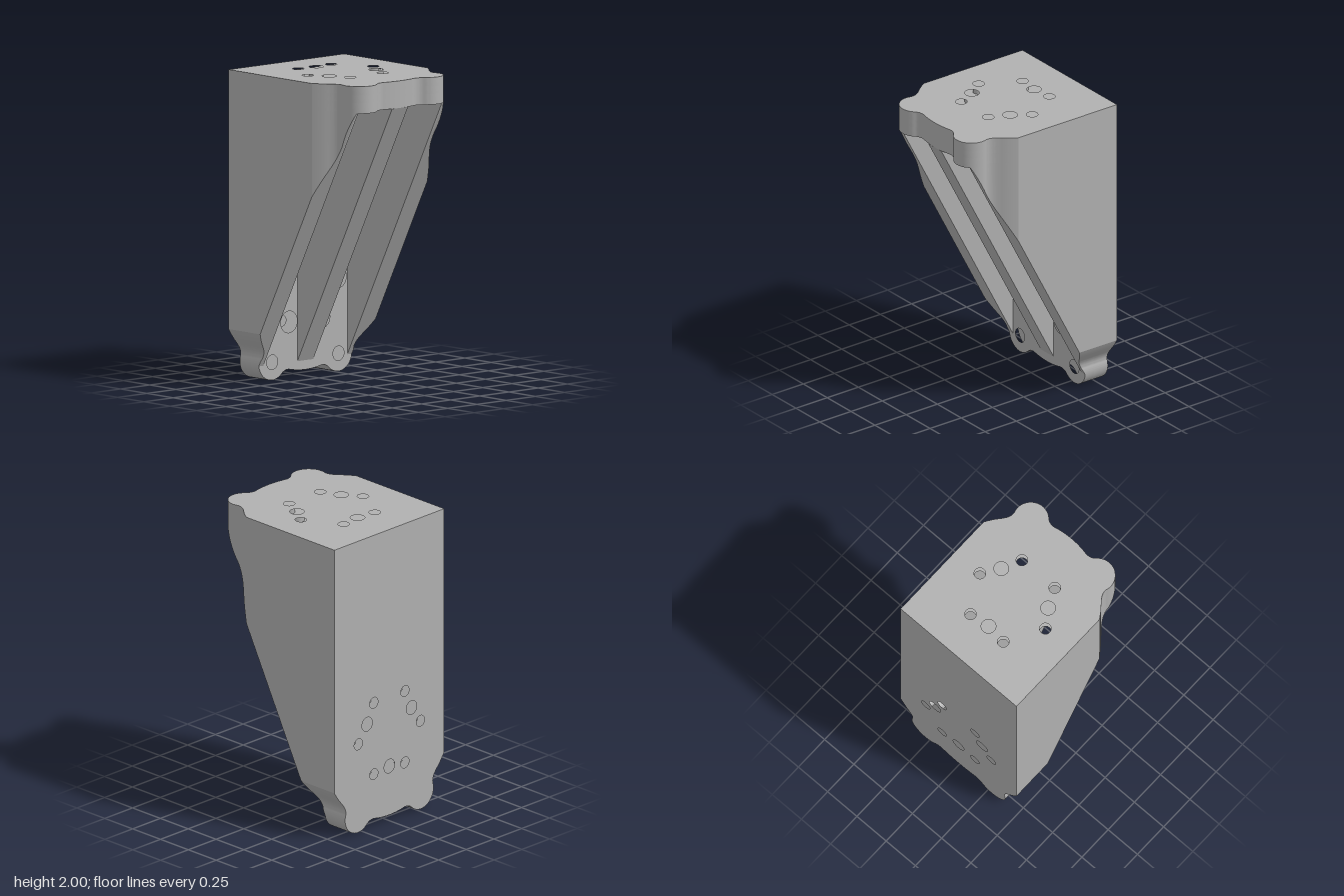
import * as THREE from 'three';
import { toCreasedNormals } from 'three/addons/utils/BufferGeometryUtils.js';

const HALF = 0.495, END = 0.56, INNER = -0.38, UNDER = 1.825;
const RIB_FOOT = 0.1, RIB_TIP = 0.52, WALL = 0.36, SHOULDER = 0.33;
const RATIO = (RIB_TIP - INNER) / (UNDER - RIB_FOOT);
const slopeZ = (y) => INNER + (y - RIB_FOOT) * RATIO;
const slopeY = (z) => RIB_FOOT + (z - INNER) / RATIO;

// Half of the wavy plate end: x across, y = distance from the tip
const LOBE = { x: 0.284, r: 0.115 };
const wave = new THREE.Path();
wave.moveTo(HALF, SHOULDER);
wave.quadraticCurveTo(0.464, 0.277, 0.43, 0.24);
wave.bezierCurveTo(0.41, 0.215, 0.388, 0.19, 0.392, 0.152);
wave.quadraticCurveTo(0.399, 0.132, LOBE.x + LOBE.r, LOBE.r);
wave.absarc(LOBE.x, LOBE.r, LOBE.r, 0, -Math.PI * 0.75, true);
wave.quadraticCurveTo(0.178, 0.058, 0.14, 0.056);
wave.quadraticCurveTo(0.07, 0.04, 0, 0.04);
const wavePoints = wave.getPoints(12);

// The part of the wave that bounds an outer rib, cut at distance v from the tip
function ribEdge(v) {
  const points = [];
  for (const p of wavePoints) {
    if (p.y <= v) break;
    points.push(p);
  }
  const x = LOBE.x + Math.sqrt(LOBE.r ** 2 - (LOBE.r - v) ** 2);
  return [...points, new THREE.Vector2(x, v)];
}

// Plate shape with wavy end at y = 0, square end at y = length
function plateShape(length, holes) {
  const mirrored = wavePoints.slice(0, -1).reverse().map((p) => new THREE.Vector2(-p.x, p.y));
  const shape = new THREE.Shape([
    new THREE.Vector2(HALF, length), ...wavePoints, ...mirrored, new THREE.Vector2(-HALF, length),
  ]);
  for (const [x, y, r] of holes) {
    shape.holes.push(new THREE.Path().absarc(x, y, r, 0, Math.PI * 2, true));
  }
  return shape;
}

const extrude = (shape, depth) =>
  new THREE.ExtrudeGeometry(shape, { depth, bevelEnabled: false, curveSegments: 20 });

// Three layers: pin holes outside, bolt holes right through, counterbores inside
function plateLayers(length, centre, pinSide) {
  const bolts = [[0.14, 0.245], [0.28, 0], [0.14, -0.245]]
    .flatMap(([x, y]) => [[x, centre + y], [-x, centre + y]]);
  const bored = (r) => bolts.map(([x, y]) => [x, y, r]);
  const pins = [[0, 0.23], [0.2, -0.115], [-0.2, -0.115]]
    .map(([x, y]) => [x, centre + y * pinSide, 0.047]);
  const lobePins = [-1, 1].map((s) => [s * 0.284, 0.115, 0.047]);
  return [
    { name: 'OuterLayer', start: 0, depth: 0.06, holes: [...bored(0.037), ...pins] },
    { name: 'MiddleLayer', start: 0.06, depth: 0.05, holes: bored(0.037) },
    { name: 'InnerLayer', start: 0.11, depth: 0.07, holes: [...bored(0.07), ...lobePins] },
  ].map((layer) => ({ ...layer, shape: plateShape(length, layer.holes) }));
}

export function createModel() {
  const model = new THREE.Group();
  model.name = 'angleBracket';
  const metal = new THREE.MeshStandardMaterial({ color: 0xb0b0b0 });
  metal.name = 'plain grey';

  function add(name, geometry, parent = model) {
    const mesh = new THREE.Mesh(toCreasedNormals(geometry, 0.5), metal);
    mesh.name = name;
    parent.add(mesh);
  }
  function addGroup(name) {
    const group = new THREE.Group();
    group.name = name;
    model.add(group);
    return group;
  }

  // Upright back plate, wavy end at the bottom
  const backPlate = addGroup('backPlate');
  for (const { name, start, depth, shape } of plateLayers(UNDER, 0.605, -1)) {
    add('back' + name, extrude(shape, depth).translate(0, 0, -END + start), backPlate);
  }

  // Flat top plate, wavy end at the front
  const topPlate = addGroup('topPlate');
  const thickness = 2 - UNDER;
  for (const { name, start, depth, shape } of plateLayers(2 * END, 0.605, 1)) {
    const k = thickness / 0.18;
    const geometry = extrude(shape, depth * k).rotateX(-Math.PI / 2);
    add('top' + name, geometry.translate(0, 2 - (start + depth) * k, END), topPlate);
  }

  // Centre rib: a triangle in the side plane
  const triangle = new THREE.Shape();
  triangle.moveTo(INNER, RIB_FOOT).lineTo(RIB_TIP, UNDER).lineTo(INNER, UNDER);
  add('centreRib', extrude(triangle, 0.136).rotateY(-Math.PI / 2).translate(0.068, 0, 0));

  // Outer ribs: trimmed by both wavy ends and by the slope
  const kneeZ = END - SHOULDER, kneeY = slopeY(kneeZ);
  for (const [side, s] of [['left', 1], ['right', -1]]) {
    const rib = addGroup(side + 'OuterRib');
    const toShape = (points) => new THREE.Shape(points.map(([x, y]) => new THREE.Vector2(s * x, y)));

    // lower part, front face leaned onto the slope
    const lower = extrude(toShape([
      [WALL, RIB_FOOT], [WALL, kneeY], [HALF, kneeY],
      ...ribEdge(RIB_FOOT).map((p) => [p.x, p.y]),
    ]), 1);
    let pos = lower.attributes.position;
    for (let i = 0; i < pos.count; i++) {
      pos.setZ(i, pos.getZ(i) < 0.5 ? INNER : slopeZ(pos.getY(i)));
    }
    add(side + 'RibLower', lower, rib);

    // square block behind the shoulder
    const block = new THREE.BoxGeometry(HALF - WALL, UNDER - kneeY, kneeZ - INNER);
    block.translate(s * (HALF + WALL) / 2, (UNDER + kneeY) / 2, (kneeZ + INNER) / 2);
    add(side + 'RibBlock', block, rib);

    // upper tip, bottom face leaned onto the slope
    const tip = extrude(toShape([
      [WALL, RIB_TIP], [WALL, kneeZ],
      ...ribEdge(END - RIB_TIP).map((p) => [p.x, END - p.y]),
    ]), 1).rotateX(Math.PI / 2);
    pos = tip.attributes.position;
    for (let i = 0; i < pos.count; i++) {
      pos.setY(i, pos.getY(i) > -0.5 ? UNDER : slopeY(pos.getZ(i)));
    }
    add(side + 'RibTip', tip, rib);
  }
  return model;
}
